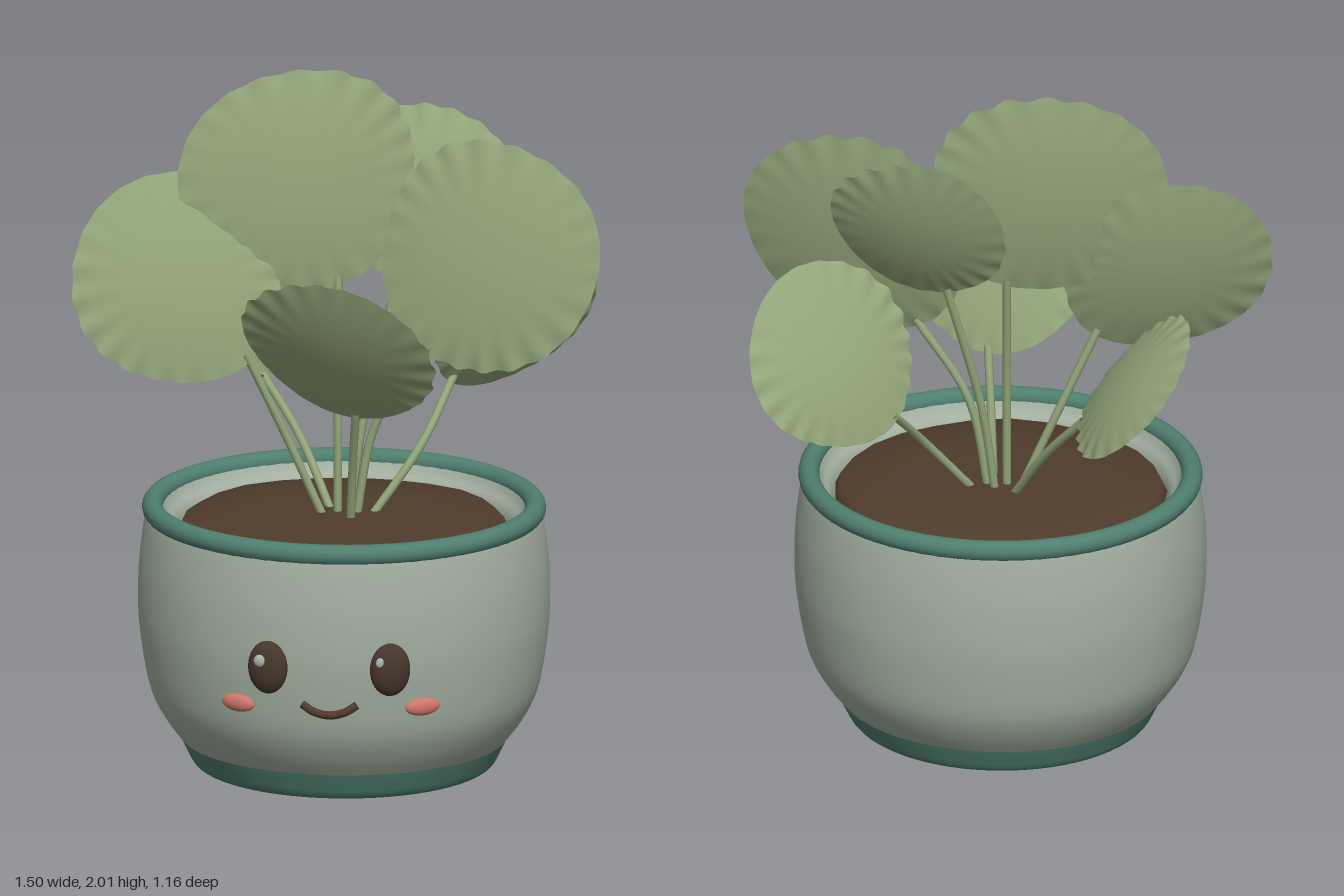
import * as THREE from 'three';

const mat = (name, color, side = THREE.FrontSide) => {
  const m = new THREE.MeshStandardMaterial({ color, side });
  m.name = name;
  return m;
};
const V = (x, y, z) => new THREE.Vector3(x, y, z);

export function createModel() {
  const root = new THREE.Group();
  root.name = 'pottedPlant';

  const potGrey = mat('potGrey', 0xa3b0a1, THREE.DoubleSide);
  const teal = mat('teal', 0x4f7f6e, THREE.DoubleSide);
  const soilBrown = mat('soilBrown', 0x4f3c2c);
  const leafGreen = mat('leafGreen', 0x93a67a, THREE.DoubleSide);
  const eyeBrown = mat('eyeBrown', 0x46372b);
  const mouthBrown = mat('mouthBrown', 0x52392e);
  const blush = mat('blush', 0xd0766a);
  const glintGrey = mat('glintGrey', 0xa9b3a8);

  const add = (parent, name, geometry, material) => {
    const mesh = new THREE.Mesh(geometry, material);
    mesh.name = name;
    parent.add(mesh);
    return mesh;
  };

  // Pot: lathed parts, slightly narrower front to back
  const pot = new THREE.Group();
  pot.name = 'pot';
  pot.position.set(0.01, 0, 0.02);
  pot.scale.z = 0.925;
  root.add(pot);
  const lathe = (name, pts, material) =>
    add(pot, name, new THREE.LatheGeometry(pts.map((p) => new THREE.Vector2(...p)), 64), material);
  const smooth = (pts, n) =>
    new THREE.SplineCurve(pts.map((p) => new THREE.Vector2(...p))).getPoints(n).map((p) => [p.x, p.y]);

  lathe('potWall', smooth([[0.463, 0.085], [0.505, 0.14], [0.543, 0.21], [0.564, 0.29], [0.581, 0.41],
    [0.585, 0.5], [0.582, 0.6], [0.57, 0.7], [0.56, 0.75]], 28), potGrey);
  lathe('potInside', smooth([[0.52, 0.765], [0.505, 0.735], [0.475, 0.69], [0.46, 0.55], [0.44, 0.25],
    [0.36, 0.11], [0.125, 0.1]], 28), potGrey);
  lathe('potBase', smooth([[0.125, 0.1], [0.122, 0.05], [0.15, 0.033], [0.2, 0.045], [0.27, 0.045],
    [0.34, 0.012], [0.39, 0.001], [0.425, 0.012], [0.447, 0.05], [0.464, 0.086]], 36), teal);
  const rim = add(pot, 'potRim', new THREE.TorusGeometry(0.544, 0.03, 14, 72), teal);
  rim.rotation.x = Math.PI / 2;
  rim.position.y = 0.757;

  // Soil: shallow mound with a slightly uneven edge
  const soilGeo = new THREE.LatheGeometry([[0.47, 0.69], [0.455, 0.722], [0.3, 0.735], [0, 0.738]]
    .map((p) => new THREE.Vector2(...p)), 26);
  const sp = soilGeo.attributes.position;
  for (let i = 0; i < sp.count; i++) {
    const a = Math.atan2(sp.getZ(i), sp.getX(i));
    const k = 1 + 0.012 * Math.sin(a * 5) + 0.008 * Math.cos(a * 8);
    sp.setX(i, sp.getX(i) * k);
    sp.setZ(i, sp.getZ(i) * k);
  }
  soilGeo.computeVertexNormals();
  add(pot, 'soil', soilGeo, soilBrown);

  // Face
  const face = new THREE.Group();
  face.name = 'face';
  root.add(face);
  const ball = (name, pos, size, yaw, material) => {
    const m = add(face, name, new THREE.SphereGeometry(1, 28, 18), material);
    m.position.set(...pos);
    m.scale.set(...size);
    m.rotation.y = yaw;
  };
  for (const [side, s] of [['right', -1], ['left', 1]]) {
    ball(side + 'Eye', [0.008 + s * 0.174, 0.428, 0.542], [0.058, 0.077, 0.034], s * 0.25, eyeBrown);
    ball(side + 'EyeGlint', [-0.014 + s * 0.174, 0.453, 0.567], [0.017, 0.018, 0.01], s * 0.25, glintGrey);
    ball(side + 'Cheek', [0.008 + s * 0.262, 0.306, 0.487], [0.053, 0.026, 0.018], s * 0.48, blush);
  }
  const smile = new THREE.CatmullRomCurve3([V(-0.068, 0.322, 0.545), V(-0.035, 0.303, 0.554),
    V(0.01, 0.294, 0.558), V(0.055, 0.303, 0.554), V(0.088, 0.322, 0.545)]);
  add(face, 'mouth', new THREE.TubeGeometry(smile, 24, 0.012, 8), mouthBrown);

  // Blade: round lens, thin at the lightly scalloped rim, tapering to the stem
  const blade = (c, n, base, rx, ry, seed) => {
    const N = V(...n).normalize();
    const C = V(...c);
    const L = C.clone().sub(V(...base));
    L.addScaledVector(N, -L.dot(N)).normalize();
    const W = L.clone().cross(N).normalize();
    const rings = 12, segs = 120, last = rings * 2 + 1;
    const pos = [], idx = [];
    // Loops run from the middle of the front to the rim, then from the rim to the middle of the back
    for (let i = 0; i <= last; i++) {
      const front = i <= rings;
      const t = (front ? i : last - i) / rings;
      const edge = Math.pow(t, 6);
      for (let j = 0; j < segs; j++) {
        const a = (j / segs) * Math.PI * 2;
        const wave = Math.sin(a * 22 + seed + Math.sin(a * 3 + seed)) * (0.6 + 0.4 * Math.sin(2 * a + seed));
        const r = t * (1 + edge * (0.016 * wave + 0.015 * Math.sin(a * 4 + seed)));
        const y = r * Math.sin(a);
        const x = r * Math.cos(a) * (1 + 0.08 * y);
        const z = (front ? 1 : -1) * 0.038 * (1 - t * t) + 0.006 * edge * wave;
        const p = C.clone().addScaledVector(W, x * rx).addScaledVector(L, y * ry).addScaledVector(N, z);
        pos.push(p.x, p.y, p.z);
        if (i < last && i !== rings) {
          const k = (j + 1) % segs, q = i * segs;
          if (i > 0) idx.push(q + j, q + segs + k, q + k);
          if (i < last - 1) idx.push(q + j, q + segs + j, q + segs + k);
        }
      }
    }
    const g = new THREE.BufferGeometry();
    g.setAttribute('position', new THREE.Float32BufferAttribute(pos, 3));
    g.setIndex(idx);
    g.computeVertexNormals();
    return { g, foot: C.clone().addScaledVector(L, -ry * 0.93) };
  };

  // Leaves: centre, facing, stem side, half width, half length, root, stem bend
  const leaves = [
    ['topLeaf', [-0.127, 1.685, -0.075], [0.15, 0.1, 0.95], [-0.01, 1.42, -0.03], 0.345, 0.318,
      [-0.01, 0.7, 0], [-0.01, 1.05, -0.01]],
    ['rightLeaf', [-0.458, 1.418, 0.03], [0.2, 0.27, 0.94], [-0.25, 1.19, 0.05], 0.3, 0.305,
      [-0.04, 0.7, 0.01], [-0.15, 0.95, 0.02]],
    ['leftLeaf', [0.42, 1.498, 0.025], [-0.26, 0.17, 0.95], [0.24, 1.22, 0.03], 0.325, 0.335,
      [0.04, 0.7, 0], [0.1, 1.0, 0]],
    ['backTopLeaf', [0.225, 1.622, -0.19], [-0.2, 0.36, 0.9], [0.14, 1.36, -0.1], 0.255, 0.257,
      [0.02, 0.7, -0.02], [0.06, 1.0, -0.05]],
    ['frontLeaf', [0.02, 1.295, 0.312], [0.29, 0.52, -0.79], [0.06, 1.08, 0.17], 0.288, 0.272,
      [0.03, 0.7, 0.05], [0.04, 0.88, 0.1]],
    ['backLeftLeaf', [0.47, 1.255, -0.275], [-0.55, 0.45, -0.7], [0.31, 1.08, -0.26], 0.268, 0.27,
      [0.07, 0.7, 0], [0.22, 0.91, -0.1]],
    ['backRightLeaf', [-0.39, 1.207, -0.34], [0.74, 0.67, -0.15], [-0.25, 1.07, -0.26], 0.24, 0.24,
      [-0.02, 0.7, -0.03], [-0.13, 0.91, -0.16]],
  ];
  leaves.forEach(([name, c, n, base, rx, ry, start, bend], i) => {
    const leaf = new THREE.Group();
    leaf.name = name;
    root.add(leaf);
    const { g, foot } = blade(c, n, base, rx, ry, i * 1.7);
    add(leaf, name + 'Blade', g, leafGreen);
    const path = new THREE.CatmullRomCurve3([V(...start), V(...bend), foot]);
    add(leaf, name + 'Stem', new THREE.TubeGeometry(path, 20, 0.012, 8), leafGreen);
  });

  return root;
}
